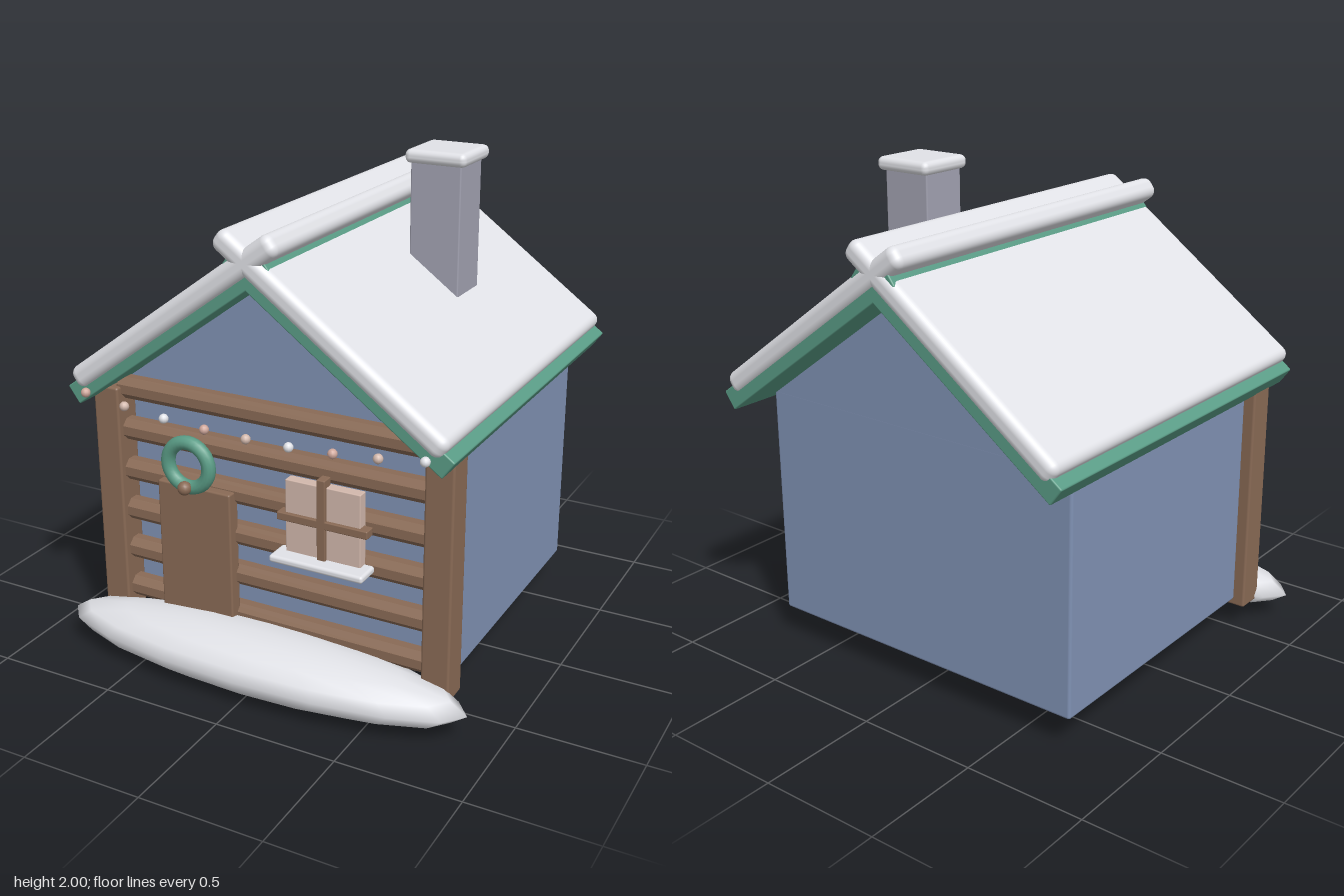
import * as THREE from 'three';
import { RoundedBoxGeometry } from 'three/addons/geometries/RoundedBoxGeometry.js';

const mat = (name, color, extra = {}) => {
  const m = new THREE.MeshStandardMaterial({ color, ...extra });
  m.name = name;
  return m;
};

export function createModel() {
  const blue = mat('blue wall', 0x8092b4);
  const wood = mat('brown wood', 0x896a55);
  const logWood = wood;
  const green = mat('green trim', 0x5a9c86);
  const snow = mat('snow', 0xe3e4e9);
  const stone = mat('grey stone', 0xa3a3b2);
  const glass = mat('warm glass', 0xd2b8ac);
  const rose = mat('rose bulb', 0xcfa79b);

  const house = new THREE.Group();
  house.name = 'cabin';

  const add = (name, geometry, material, x = 0, y = 0, z = 0) => {
    const mesh = new THREE.Mesh(geometry, material);
    mesh.name = name;
    mesh.position.set(x, y, z);
    house.add(mesh);
    return mesh;
  };
  // Softly rounded block given by its limits on each axis
  const block = (name, material, [x0, x1], [y0, y1], [z0, z1], r = 0.008) =>
    add(name, new RoundedBoxGeometry(x1 - x0, y1 - y0, z1 - z0, 2, r), material,
      (x0 + x1) / 2, (y0 + y1) / 2, (z0 + z1) / 2);

  // Walls and gable
  block('walls', blue, [-0.73, 0.73], [0.13, 1.1], [-0.7, 0.5], 0.012);
  const triangle = new THREE.Shape([
    new THREE.Vector2(-0.72, 1.09), new THREE.Vector2(0.72, 1.09), new THREE.Vector2(0, 1.64),
  ]);
  add('gable', new THREE.ExtrudeGeometry(triangle, { depth: 1.2, bevelEnabled: false }), blue, 0, 0, -0.7);

  // Corner posts and roof slopes, mirrored
  const pitch = 0.63;
  for (const side of [-1, 1]) {
    add('cornerPost', new RoundedBoxGeometry(0.115, 1.0, 0.12, 2, 0.01), wood, side * 0.7175, 0.6, 0.56);
    const board = add('roofBoard', new RoundedBoxGeometry(1.08, 0.083, 1.6, 2, 0.006), green,
      side * 0.356, 1.403, -0.08);
    board.rotation.z = -side * pitch;
    const cover = add('roofSnow', new RoundedBoxGeometry(1.11, 0.09, 1.63, 4, 0.035), snow,
      side * 0.33, 1.475, -0.075);
    cover.rotation.z = -side * pitch;
  }

  // Eight-sided front logs with a flat face forward
  for (let i = 0; i < 6; i++) {
    const log = new THREE.CylinderGeometry(0.048, 0.048, 1.36, 8).toNonIndexed();
    log.rotateY(Math.PI / 8);
    log.rotateZ(Math.PI / 2);
    log.computeVertexNormals();
    add('frontLog', log, logWood, 0, 0.217 + i * 0.1745, 0.55);
  }

  // Chimney
  block('chimney', stone, [0.25, 0.46], [1.3, 1.96], [-0.3, -0.1], 0.006);
  block('chimneySnow', snow, [0.23, 0.485], [1.945, 2.0], [-0.328, -0.075], 0.024);

  // Door and wreath
  block('door', wood, [-0.48, -0.15], [0.13, 0.755], [0.57, 0.63]);
  add('wreath', new THREE.TorusGeometry(0.092, 0.028, 12, 32), green, -0.315, 0.86, 0.655);
  add('wreathBerry', new THREE.SphereGeometry(0.028, 14, 10), wood, -0.315, 0.775, 0.687);

  // Window with crossbars and snowy sill
  block('windowPane', glass, [0.1, 0.415], [0.575, 0.88], [0.59, 0.635], 0.004);
  block('windowUpright', wood, [0.24, 0.275], [0.575, 0.912], [0.6, 0.65], 0.004);
  block('windowCrossbar', wood, [0.07, 0.45], [0.715, 0.747], [0.6, 0.65], 0.004);
  block('windowSill', snow, [0.06, 0.455], [0.556, 0.586], [0.59, 0.7], 0.012);

  // Sagging string of bulbs
  const bulb = new THREE.SphereGeometry(0.019, 12, 8);
  const bulbColors = [rose, glass, snow];
  for (let i = 0; i < 9; i++) {
    const t = (i - 4) / 4;
    add('bulb', bulb, bulbColors[i % 3], t * 0.716, 1.06 + 0.055 * t * t, 0.742);
  }

  // Snow drift along the front
  const drift = add('snowDrift', new THREE.SphereGeometry(1, 16, 8), snow, 0, 0.118, 0.685);
  drift.scale.set(0.88, 0.118, 0.205);

  return house;
}
